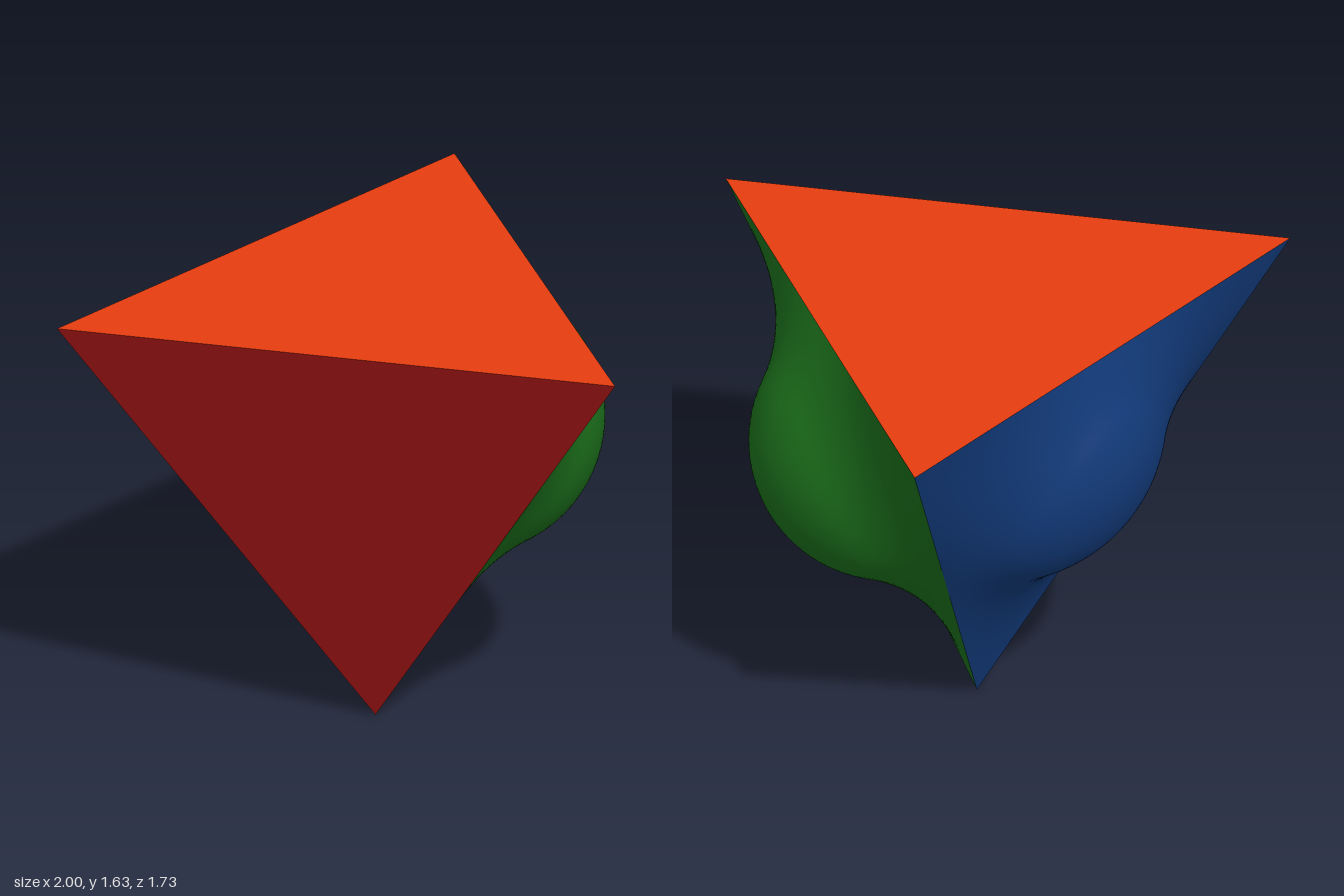
import * as THREE from 'three';

const TOP = 1.633;
const A = new THREE.Vector3(-1, TOP, 0.866);  // front, model's right
const B = new THREE.Vector3(1, TOP, 0.866);   // front, model's left
const C = new THREE.Vector3(0, TOP, -0.866);  // back
const D = new THREE.Vector3(0, 0, 0.289);     // bottom tip

// Film stretched over triangle p,q,r (counter-clockwise from outside) and pushed
// out by a ball whose centre lies `depth` below the middle of the face.
function stretchedFace(p, q, r, radius, depth, n = 72) {
  const u = q.clone().sub(p), v = r.clone().sub(p);
  const normal = u.clone().cross(v).normalize();
  const middle = p.clone().add(q).add(r).divideScalar(3);
  const step = u.length() / n;
  const id = (i, j) => i * (n + 1) + j;
  const at = (i, j) => p.clone().addScaledVector(u, i / n).addScaledVector(v, j / n);
  const ring = [[1, 0], [0, 1], [-1, 1], [-1, 0], [0, -1], [1, -1]];

  // Height of the ball over the face, used as the obstacle
  const ball = new Float64Array((n + 1) ** 2), h = new Float64Array((n + 1) ** 2);
  for (let i = 1; i < n; i++) {
    for (let j = 1; i + j < n; j++) {
      const d2 = at(i, j).distanceToSquared(middle);
      ball[id(i, j)] = d2 < radius * radius ? Math.sqrt(radius * radius - d2) - depth : 0;
      h[id(i, j)] = Math.max(0, ball[id(i, j)]);
    }
  }

  // Relax to the smallest area that stays on or above the ball
  for (let pass = 0; pass < 350; pass++) {
    for (let i = 1; i < n; i++) {
      for (let j = 1; i + j < n; j++) {
        const k = id(i, j), h0 = h[k];
        const near = ring.map(([a, b]) => h[id(i + a, j + b)]);
        let sum = 0, total = 0;
        for (let s = 0; s < 6; s++) {
          const a = near[s], b = near[(s + 1) % 6];
          const slope2 = ((a - h0) ** 2 + (b - h0) ** 2 + (a - b) ** 2) * 2 / (3 * step * step);
          const w = 1 / Math.sqrt(1 + slope2);
          sum += w * (a + b);
          total += 2 * w;
        }
        h[k] = Math.max(0, ball[k], h0 + 1.5 * (sum / total - h0));
      }
    }
  }

  // Triangular grid lifted along the face normal
  const pos = [], index = [], slot = new Map();
  for (let i = 0; i <= n; i++) {
    for (let j = 0; i + j <= n; j++) {
      slot.set(id(i, j), pos.length / 3);
      pos.push(...at(i, j).addScaledVector(normal, h[id(i, j)]).toArray());
    }
  }
  const g = (i, j) => slot.get(id(i, j));
  for (let i = 0; i < n; i++) {
    for (let j = 0; i + j < n; j++) {
      index.push(g(i, j), g(i + 1, j), g(i, j + 1));
      if (i + j < n - 1) index.push(g(i + 1, j), g(i + 1, j + 1), g(i, j + 1));
    }
  }
  const geo = new THREE.BufferGeometry();
  geo.setAttribute('position', new THREE.Float32BufferAttribute(pos, 3));
  geo.setIndex(index);
  geo.computeVertexNormals();
  return geo;
}

function flatFace(p, q, r) {
  const geo = new THREE.BufferGeometry().setFromPoints([p, q, r]);
  geo.computeVertexNormals();
  return geo;
}

export function createModel() {
  const group = new THREE.Group();
  const add = (name, geo, color) => {
    const mesh = new THREE.Mesh(geo, new THREE.MeshStandardMaterial({ color, side: THREE.DoubleSide }));
    mesh.name = name;
    group.add(mesh);
  };

  // Two flat faces
  add('topFace', flatFace(A, B, C), 0xe63c0f);
  add('frontFace', flatFace(A, D, B), 0xa01414);

  // Two faces bulging over balls: a tall one and a shallow one
  add('leftBulgingFace', stretchedFace(B, D, C, 0.49, 0.066), 0x1a6b1a);
  add('rightBulgingFace', stretchedFace(A, C, D, 0.59, 0.308), 0x123a7a);
  return group;
}
